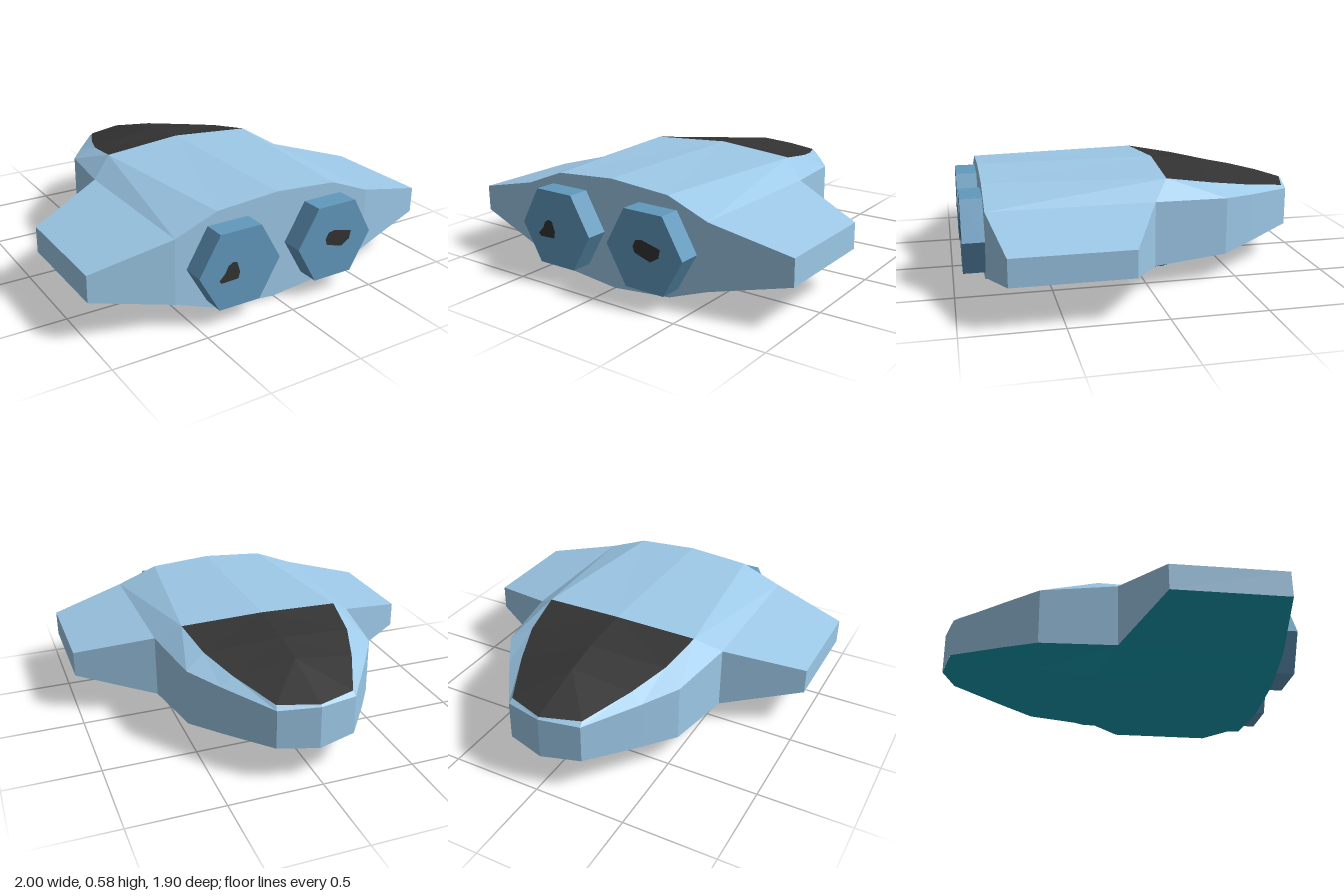
import * as THREE from 'three';

const material = (name, color) => {
  const m = new THREE.MeshStandardMaterial({ color });
  m.name = name;
  return m;
};

// Flat-faced mesh from quads of the +x half, mirrored to -x
function mirroredMesh(name, quads, mat) {
  const pos = [];
  const tri = (a, b, c) => {
    pos.push(...a, ...b, ...c);
    for (const p of [a, c, b]) pos.push(-p[0], p[1], p[2]);
  };
  for (const [a, b, c, d] of quads) {
    tri(a, b, c);
    tri(a, c, d);
  }
  const g = new THREE.BufferGeometry();
  g.setAttribute('position', new THREE.Float32BufferAttribute(pos, 3));
  g.computeVertexNormals();
  const mesh = new THREE.Mesh(g, mat);
  mesh.name = name;
  return mesh;
}

export function createModel() {
  const group = new THREE.Group();
  group.name = 'spaceship';
  const hullBlue = material('hull blue', 0x9dc9e8);
  const bellyTeal = material('belly teal', 0x18a0b4);
  const nozzleBlue = material('nozzle blue', 0x6199bd);
  const darkGrey = material('dark grey', 0x333333);

  // Half cross-sections, nose to tail: keel, bilge, lower edge, upper edge, shoulder, ridge
  const stations = [
    [[0, 0.18, -0.95], [0.19, 0.189, -0.9], [0.21, 0.19, -0.895], [0.21, 0.4, -0.895], [0.205, 0.42, -0.87], [0, 0.42, -0.94]],
    [[0, 0.106, -0.62], [0.25, 0.125, -0.62], [0.4, 0.16, -0.62], [0.4, 0.427, -0.62], [0.33, 0.468, -0.6], [0, 0.515, -0.62]],
    [[0, 0.064, -0.435], [0.3, 0.09, -0.435], [0.52, 0.14, -0.435], [0.52, 0.447, -0.435], [0.41, 0.51, -0.38], [0, 0.55, -0.435]],
    [[0, 0, -0.15], [0.35, 0.035, -0.13], [0.58, 0.12, -0.03], [0.58, 0.465, -0.03], [0.45, 0.555, -0.12], [0, 0.58, -0.15]],
    [[0, 0, 0.835], [0.35, 0.035, 0.835], [0.58, 0.12, 0.835], [0.58, 0.465, 0.835], [0.35, 0.555, 0.835], [0, 0.58, 0.835]],
  ];
  const [nose, , , root, tail] = stations;
  const hull = [], belly = [], canopy = [];

  // Skin between neighbouring sections, up to the wing root
  for (let s = 0; s < 3; s++) {
    const a = stations[s], b = stations[s + 1];
    for (let i = 0; i < 5; i++) {
      const target = i < 2 ? belly : i === 4 ? canopy : hull;
      target.push([a[i], a[i + 1], b[i + 1], b[i]]);
    }
  }

  // Rear body: two belly strips, shoulder and roof
  for (const i of [0, 1]) belly.push([root[i], root[i + 1], tail[i + 1], tail[i]]);
  for (const i of [3, 4]) hull.push([root[i + 1], tail[i + 1], tail[i], root[i]]);

  // Nose lip, nose face and rear wall
  const noseTop = [0, 0.41, -0.95];
  hull.push([noseTop, nose[5], nose[4], nose[3]]);
  hull.push([noseTop, nose[3], nose[2], nose[0]]);
  hull.push([tail[0], tail[1], tail[2], tail[3]], [tail[0], tail[3], tail[4], tail[5]]);

  // Wings
  const lf = [1, 0.22, 0.16], uf = [1, 0.36, 0.16], lb = [1, 0.22, 0.765], ub = [1, 0.36, 0.765];
  const wing = [
    [root[3], tail[3], ub, uf],
    [root[3], uf, lf, root[2]],
    [tail[2], lb, ub, tail[3]],
    [lf, uf, ub, lb],
  ];
  const wingBelly = [[root[2], lf, lb, tail[2]]];

  group.add(
    mirroredMesh('hull', hull, hullBlue),
    mirroredMesh('belly', belly, bellyTeal),
    mirroredMesh('canopy', canopy, darkGrey),
    mirroredMesh('wings', wing, hullBlue),
    mirroredMesh('wingUndersides', wingBelly, bellyTeal),
  );

  // Hexagonal engine nozzles with an irregular dark exhaust patch
  const patches = {
    leftNozzle: [0.288, [[0.225, 0.31], [0.235, 0.28], [0.265, 0.27], [0.33, 0.25], [0.38, 0.28], [0.39, 0.325], [0.28, 0.352], [0.243, 0.345]]],
    rightNozzle: [-0.288, [[-0.408, 0.252], [-0.395, 0.236], [-0.3, 0.24], [-0.292, 0.275], [-0.31, 0.328], [-0.335, 0.334], [-0.36, 0.318], [-0.375, 0.285]]],
  };
  for (const [name, [x, outline]] of Object.entries(patches)) {
    const g = new THREE.CylinderGeometry(0.23, 0.23, 0.12, 6).rotateY(Math.PI / 6).rotateX(Math.PI / 2).toNonIndexed();
    g.computeVertexNormals();
    const nozzle = new THREE.Mesh(g, nozzleBlue);
    nozzle.name = name;
    nozzle.position.set(x, 0.291, 0.89);
    const shape = new THREE.Shape(outline.map(([px, py]) => new THREE.Vector2(px, py)));
    const exhaust = new THREE.Mesh(new THREE.ShapeGeometry(shape), darkGrey);
    exhaust.name = name + 'Exhaust';
    exhaust.position.z = 0.952;
    group.add(nozzle, exhaust);
  }
  return group;
}
